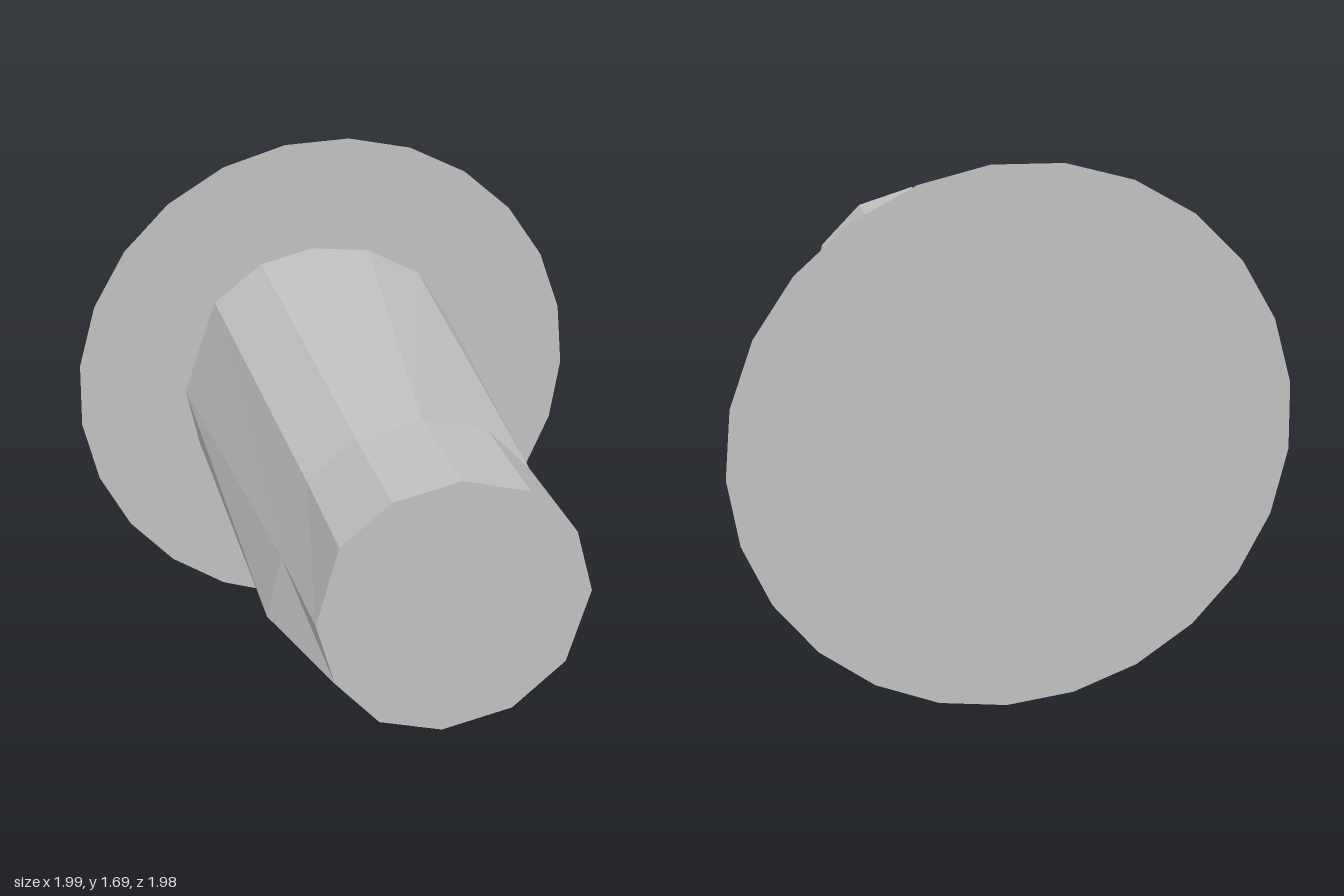
import * as THREE from 'three';

const Z_MID = 1.187, Z_TIP = 1.577;

// Matching [x, y] points round the barrel: base ring, collar ring, tip ring
const BASE = [[-.044, 1.32], [.147, 1.295], [.319, 1.2], [.422, 1.04], [.466, .85], [.354, .54], [.195, .425],
  [.01, .38], [-.175, .405], [-.35, .5], [-.45, .66], [-.488, .85], [-.378, 1.16], [-.218, 1.28]];
const COLLAR = [[0, 1.235], [0, 1.235], [.325, 1.04], [.325, 1.04], [.38, .85], [.345, .54], [.194, .425],
  [.012, .38], [-.178, .41], [-.28, .5], [-.454, .66], [-.408, .85], [-.33, 1.08], [-.188, 1.195]];
const SLEEVE = COLLAR.map((p, i) => (i === 1 || i === 2 ? [.194, 1.18] : p));
const TIP = [[.004, 1.235], [.194, 1.18], [.194, 1.18], [.332, 1.04], [.383, .85], [.317, .63], [.164, .5],
  [-.04, .46], [-.22, .515], [-.345, .66], [-.345, .66], [-.396, .85], [-.33, 1.08], [-.187, 1.195]];

function facets(triangles) {
  const g = new THREE.BufferGeometry();
  g.setAttribute('position', new THREE.Float32BufferAttribute(triangles.flat(2), 3));
  g.computeVertexNormals();
  return g;
}

// Faceted wall between two rings, skipping collapsed triangles
function wall(ringA, zA, ringB, zB) {
  const a = ringA.map(([x, y]) => [x, y, zA]);
  const b = ringB.map(([x, y]) => [x, y, zB]);
  const out = [];
  const same = (p, q) => p.every((v, k) => v === q[k]);
  const add = (p, q, r) => { if (!same(p, q) && !same(q, r) && !same(p, r)) out.push([p, q, r]); };
  for (let i = 0; i < a.length; i++) {
    const j = (i + 1) % a.length;
    add(a[i], b[i], a[j]);
    add(b[i], b[j], a[j]);
  }
  return facets(out);
}

export function createModel() {
  const model = new THREE.Group();
  model.name = 'flangedBarrel';
  const grey = new THREE.MeshStandardMaterial({ color: 0xc0c0c0, flatShading: true, side: THREE.DoubleSide });
  grey.name = 'grey';

  const assembly = new THREE.Group();
  assembly.name = 'assembly';
  const add = (name, geometry) => {
    const mesh = new THREE.Mesh(geometry, grey);
    mesh.name = name;
    assembly.add(mesh);
    return mesh;
  };

  // Flat round back plate
  const plate = add('backPlate', new THREE.CircleGeometry(.845, 25, THREE.MathUtils.degToRad(271.7)));
  plate.position.y = .845;

  // Tapered barrel and the sleeve at its end
  add('barrel', wall(BASE, 0, COLLAR, Z_MID));
  add('sleeve', wall(SLEEVE, Z_MID, TIP, Z_TIP));

  // Small step where the sleeve stands proud of the barrel
  add('sleeveStep', facets([[[0, 1.235, Z_MID], [.194, 1.18, Z_MID], [.325, 1.04, Z_MID]]]));

  // Flat end face
  const end = new THREE.ShapeGeometry(new THREE.Shape(TIP.map(([x, y]) => new THREE.Vector2(x, y)).reverse()));
  add('endFace', end).position.z = Z_TIP;

  // The whole piece points diagonally forward
  assembly.rotation.y = .813;
  assembly.position.set(-.408, 0, -.383);
  model.add(assembly);
  return model;
}
